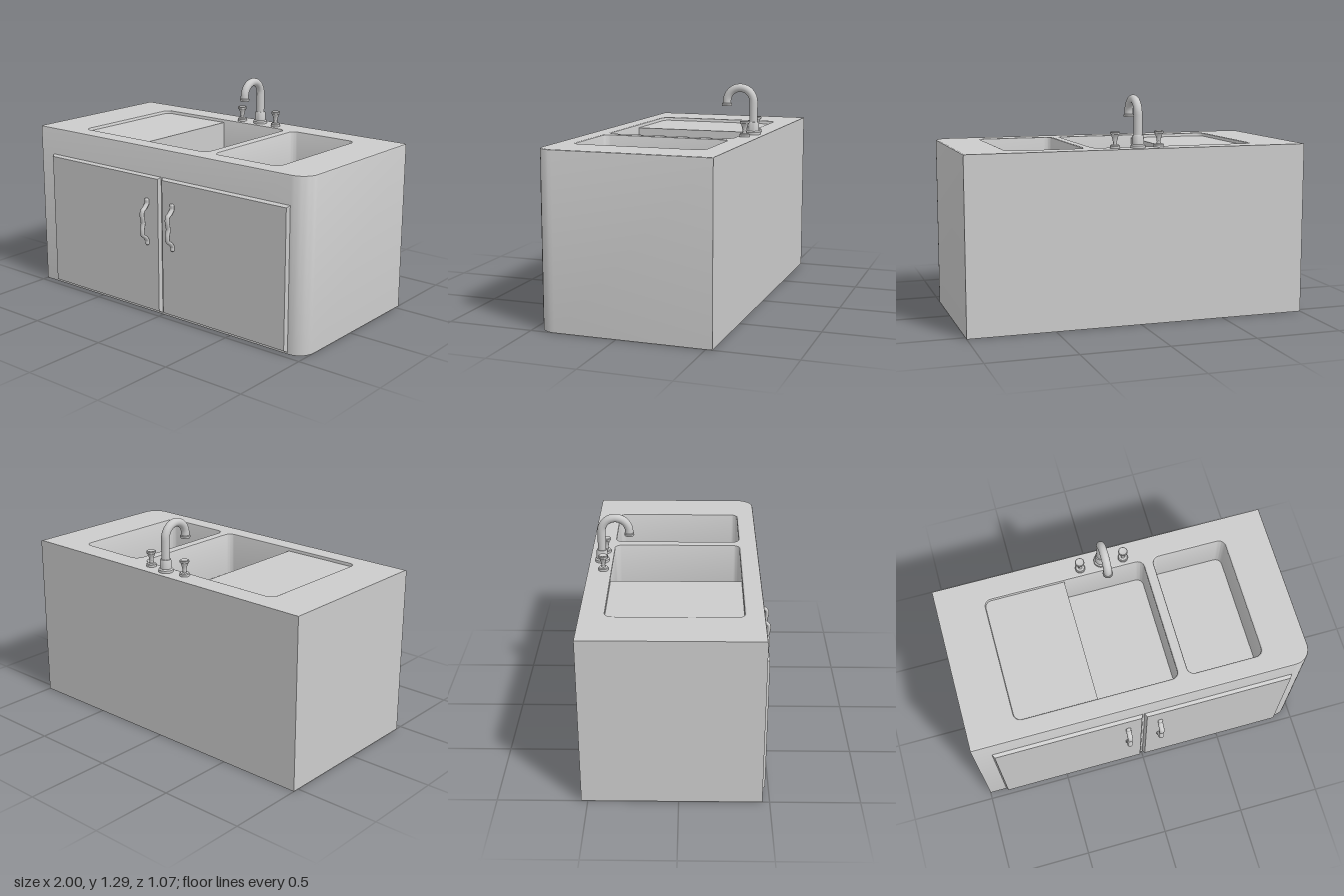
import * as THREE from 'three';
import { toCreasedNormals } from 'three/addons/utils/BufferGeometryUtils.js';

const grey = new THREE.MeshStandardMaterial({ color: 0xcccccc });
const V2 = (x, y) => new THREE.Vector2(x, y);
const V3 = (x, y, z) => new THREE.Vector3(x, y, z);

function add(parent, name, geometry, x = 0, y = 0, z = 0) {
  const mesh = new THREE.Mesh(geometry, grey);
  mesh.name = name;
  mesh.position.set(x, y, z);
  parent.add(mesh);
  return mesh;
}

// Plan outline, counter-clockwise from above, as (x, -z) points.
// Radii order: front left, front right, back right, back left (as drawn, -x first).
function plan(x0, x1, zBack, zFront, radii) {
  const corners = [[x0, -zFront, 1, 1], [x1, -zFront, -1, 1], [x1, -zBack, -1, -1], [x0, -zBack, 1, -1]];
  const points = [];
  corners.forEach(([x, y, sx, sy], k) => {
    const r = radii[k];
    if (!r) return points.push(V2(x, y));
    for (let i = 0; i <= 8; i++) {
      const a = Math.PI + (k + i / 8) * Math.PI / 2;
      points.push(V2(x + sx * r + r * Math.cos(a), y + sy * r + r * Math.sin(a)));
    }
  });
  return points;
}

// Walls through stacked plan outlines, given as [y, points] from bottom to top.
function walls(rings, inward = false) {
  const n = rings[0][1].length, position = [], index = [];
  rings.forEach(([y, pts]) => pts.forEach(p => position.push(p.x, y, -p.y)));
  for (let r = 0; r < rings.length - 1; r++) {
    for (let i = 0; i < n; i++) {
      const a = r * n + i, b = r * n + (i + 1) % n, c = b + n, d = a + n;
      if (inward) index.push(a, c, b, a, d, c);
      else index.push(a, b, c, a, c, d);
    }
  }
  const g = new THREE.BufferGeometry();
  g.setAttribute('position', new THREE.Float32BufferAttribute(position, 3));
  g.setIndex(index);
  return toCreasedNormals(g, 0.6);
}

const flat = shape => new THREE.ShapeGeometry(shape).rotateX(-Math.PI / 2);
const lathe = (profile, sides = 24) =>
  toCreasedNormals(new THREE.LatheGeometry(profile.map(([r, y]) => V2(r, y)), sides), 0.6);

export function createModel() {
  const group = new THREE.Group();
  const floorY = 0.74;
  const rim = [[0.99, 0], [0.997, 0.003], [1, 0.01]]; // height, rounding offset

  // Cabinet: one rounded front corner, softened front and side top edges
  const cabinet = new THREE.Group();
  cabinet.name = 'cabinet';
  group.add(cabinet);
  const outer = i => plan(-1, 1 - i, -0.536, 0.46 - i, [0, 0.1 - i, 0, 0]);
  add(cabinet, 'cabinetWalls', walls([[0, outer(0)], ...rim.map(([y, i]) => [y, outer(i)])]));
  const under = new THREE.Shape(outer(0).map(p => V2(p.x, -p.y)));
  add(cabinet, 'cabinetBottom', new THREE.ShapeGeometry(under).rotateX(Math.PI / 2));

  // Countertop with two basins
  const top = new THREE.Shape(outer(0.01));
  for (const [name, x0, x1] of [['largeBasin', -0.72, 0.235], ['smallBasin', 0.295, 0.735]]) {
    const hole = g => plan(x0 - g, x1 + g, -0.4 - g, 0.35 + g, Array(4).fill(0.04 + g));
    add(group, name + 'Walls', walls([[floorY, hole(0)], ...rim.map(([y, g]) => [y, hole(g)])], true));
    add(group, name + 'Floor', flat(new THREE.Shape(hole(0))), 0, floorY, 0);
    top.holes.push(new THREE.Path(hole(0.01)));
  }
  add(group, 'countertop', flat(top), 0, 1, 0);

  // Draining board filling the left half of the large basin
  const board = plan(-0.72, -0.24, -0.4, 0.35, [0.04, 0, 0, 0.04]);
  add(group, 'drainingBoardSides', walls([[floorY, board], [0.98, board]]));
  add(group, 'drainingBoard', flat(new THREE.Shape(board)), 0, 0.98, 0);

  // Doors with chamfered fronts, and wavy pull handles
  const pull = [[0.69, 0.486], [0.668, 0.486], [0.645, 0.505], [0.63, 0.523], [0.6, 0.527], [0.557, 0.519],
    [0.514, 0.527], [0.484, 0.523], [0.469, 0.505], [0.446, 0.486], [0.428, 0.486]];
  const pullPath = new THREE.CatmullRomCurve3(pull.map(([y, z]) => V3(0, y, z)));
  for (const [side, s] of [['left', 1], ['right', -1]]) {
    const w = 0.902, h = 0.835, bevel = 0.016;
    const door = new THREE.BoxGeometry(w, h, 0.03);
    const p = door.attributes.position;
    for (let i = 0; i < p.count; i++) {
      if (p.getZ(i) < 0) continue;
      p.setX(i, p.getX(i) - Math.sign(p.getX(i)) * bevel);
      p.setY(i, p.getY(i) - Math.sign(p.getY(i)) * bevel);
    }
    door.computeVertexNormals();
    add(group, side + 'Door', door, s * w / 2, 0.005 + h / 2, 0.465);

    const handle = new THREE.Group();
    handle.name = side + 'DoorHandle';
    handle.position.x = s * 0.097;
    handle.scale.x = 1.4;
    group.add(handle);
    add(handle, 'handleBar', new THREE.TubeGeometry(pullPath, 60, 0.011, 12));
    for (const [y, z] of [pull[0], pull[pull.length - 1]]) {
      add(handle, 'handleEnd', new THREE.SphereGeometry(0.011, 12, 8), 0, y, z);
    }
  }

  // Faucet: base, gooseneck spout and outlet ring
  const faucet = new THREE.Group();
  faucet.name = 'faucet';
  group.add(faucet);
  const zPipe = -0.464, bend = 0.081, yBend = 1.188;
  add(faucet, 'faucetBase', lathe([[0.042, 0], [0.042, 0.014], [0.038, 0.019], [0.034, 0.021],
    [0.032, 0.066], [0.029, 0.073], [0.02, 0.073]]), 0, 1, zPipe);
  const spout = new THREE.CurvePath();
  const arc = [];
  for (let i = 0; i <= 16; i++) {
    const a = Math.PI * i / 16;
    arc.push(V3(0, yBend + bend * Math.sin(a), zPipe + bend - bend * Math.cos(a)));
  }
  spout.add(new THREE.LineCurve3(V3(0, 1.02, zPipe), arc[0]));
  spout.add(new THREE.CatmullRomCurve3(arc));
  spout.add(new THREE.LineCurve3(arc[16], V3(0, 1.168, zPipe + 2 * bend)));
  add(faucet, 'spout', new THREE.TubeGeometry(spout, 80, 0.024, 20));
  add(faucet, 'spoutOutlet', lathe([[0, 0.006], [0.02, 0.006], [0.022, 0], [0.027, 0], [0.029, 0.004],
    [0.029, 0.013], [0.026, 0.017], [0.02, 0.017]]), 0, 1.162, zPipe + 2 * bend);

  // Flared tap knobs either side of the spout
  const knob = [[0.029, 0], [0.029, 0.013], [0.025, 0.018], [0.012, 0.02], [0.011, 0.032], [0.014, 0.05],
    [0.02, 0.07], [0.027, 0.079], [0.027, 0.088], [0.024, 0.092], [0, 0.086]];
  for (const [side, s] of [['left', 1], ['right', -1]]) {
    add(group, side + 'Tap', lathe(knob), s * 0.13, 1, -0.448);
  }
  return group;
}
